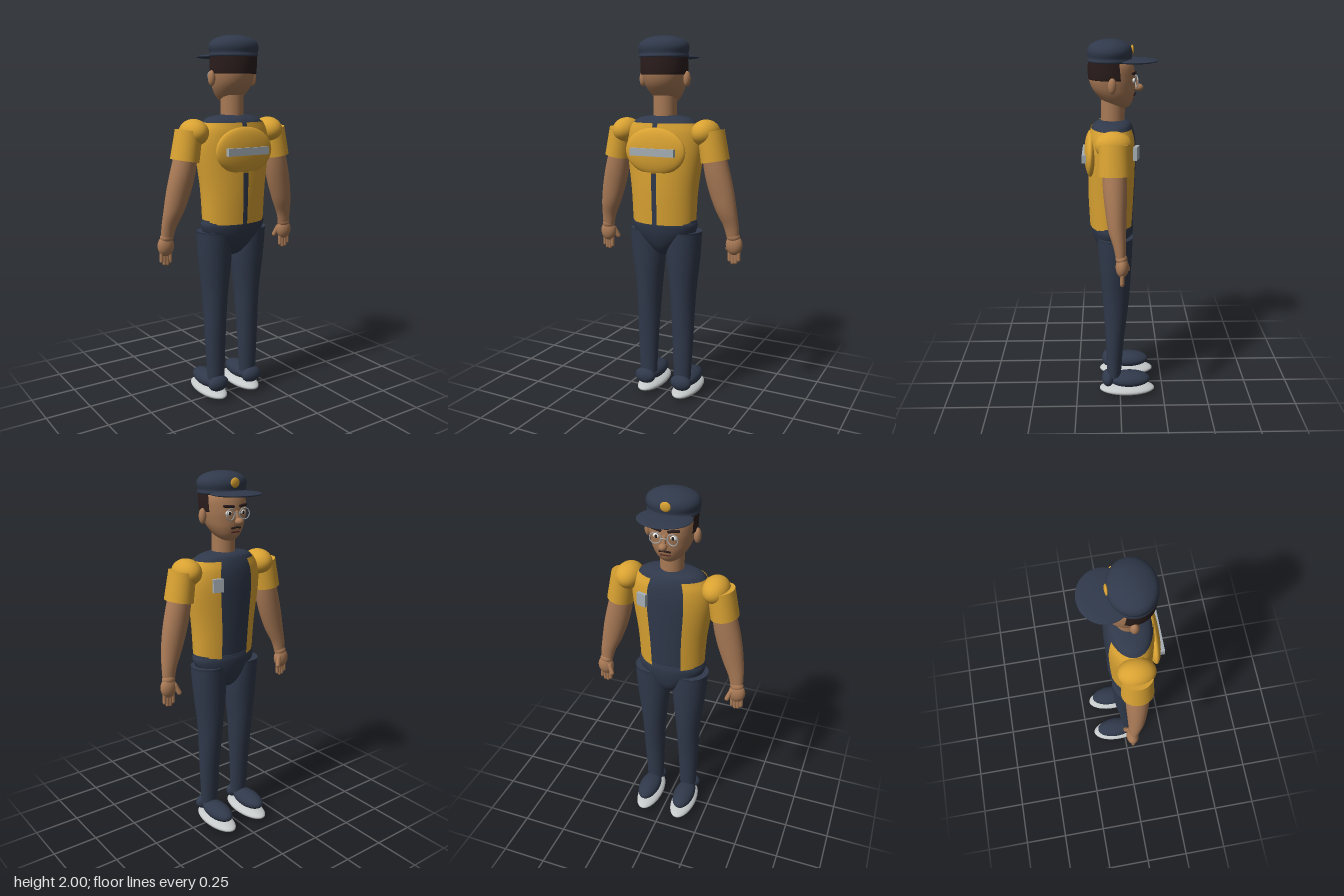
import * as THREE from 'three';

const mat = (name, color, side = THREE.FrontSide) => {
  const m = new THREE.MeshStandardMaterial({ color, side });
  m.name = name;
  return m;
};

export function createModel() {
  const root = new THREE.Group();
  root.name = 'uniformedMan';
  const navy = mat('navyCloth', 0x30394b);
  const yellow = mat('yellowCloth', 0xd9a232, THREE.DoubleSide);
  const skin = mat('skin', 0xa97a56);
  const hair = mat('darkHair', 0x2a1c1c, THREE.DoubleSide);
  const grey = mat('reflectiveGrey', 0xa6afb5);
  const soleMat = mat('soleWhite', 0xc6cacb);
  const white = mat('eyeWhite', 0xe8e6e0);
  const lips = mat('mouth', 0x5e3029);

  const add = (name, geo, material, x = 0, y = 0, z = 0) => {
    const m = new THREE.Mesh(geo, material);
    m.name = name;
    m.position.set(x, y, z);
    root.add(m);
    return m;
  };
  const ball = (name, material, [x, y, z], [rx, ry, rz]) => {
    const m = add(name, new THREE.SphereGeometry(1, 36, 24), material, x, y, z);
    m.scale.set(rx, ry, rz);
    return m;
  };
  const box = (name, material, p, s) => add(name, new THREE.BoxGeometry(...s), material, ...p);
  // Rounded rod between two points
  const rod = (name, material, a, b, r) => {
    const A = new THREE.Vector3(...a), B = new THREE.Vector3(...b), d = B.clone().sub(A);
    const m = add(name, new THREE.CapsuleGeometry(r, d.length(), 6, 14), material);
    m.position.copy(A).add(B).multiplyScalar(0.5);
    m.quaternion.setFromUnitVectors(new THREE.Vector3(0, 1, 0), d.normalize());
    return m;
  };
  // Smooth skin through elliptical rings [y, centreX, centreZ, radiusX, radiusZ], bottom to top.
  // Angle 0 points to +z and PI/2 to +x.
  const loft = (rows, from = 0, to = Math.PI * 2, grow = 0, n = 40) => {
    const C = new THREE.CatmullRomCurve3(rows.map(r => new THREE.Vector3(r[1], r[0], r[2])), false, 'catmullrom', 0.5);
    const R = new THREE.CatmullRomCurve3(rows.map(r => new THREE.Vector3(r[3], r[4], 0)), false, 'catmullrom', 0.5);
    const full = to - from > 6.28, cols = full ? n : n + 1, steps = (rows.length - 1) * 5;
    const pos = [], idx = [];
    for (let i = 0; i <= steps; i++) {
      const c = C.getPoint(i / steps), r = R.getPoint(i / steps);
      for (let j = 0; j < cols; j++) {
        const t = from + (to - from) * j / n;
        pos.push(c.x + Math.sin(t) * (r.x + grow), c.y, c.z + Math.cos(t) * (r.y + grow));
        if (i === steps || j === n) continue;
        const a = i * cols + j, b = i * cols + (j + 1) % cols;
        idx.push(a, b, b + cols, a, b + cols, a + cols);
      }
    }
    const g = new THREE.BufferGeometry();
    g.setAttribute('position', new THREE.Float32BufferAttribute(pos, 3));
    g.setIndex(idx);
    g.computeVertexNormals();
    return g;
  };

  // Shirt, with a split vest over it: wide opening on the chest, narrow slit on the back
  const body = [
    [1.02, 0, 0.045, 0.176, 0.112], [1.2, 0, 0.043, 0.186, 0.121], [1.4, 0, 0.038, 0.212, 0.123],
    [1.5, 0, 0.038, 0.205, 0.118], [1.555, 0, 0.04, 0.176, 0.106],
  ];
  add('shirt', loft([...body, [1.58, 0, 0.035, 0.14, 0.085], [1.593, 0, 0.035, 0.06, 0.055]]), navy);
  add('vestLeft', loft(body, 0.075, Math.PI - 0.47, 0.006), yellow);
  add('vestRight', loft(body, Math.PI + 0.47, Math.PI * 2 - 0.075, 0.006), yellow);
  ball('backPanel', yellow, [0, 1.41, 0.152], [0.174, 0.124, 0.037]);
  box('backStripe', grey, [0, 1.408, 0.187], [0.254, 0.04, 0.024]);
  const tag = box('chestTag', grey, [0.122, 1.44, -0.083], [0.055, 0.07, 0.02]);
  tag.rotation.y = -0.3;

  // Hips
  add('hips', loft([
    [0.825, 0, 0.03, 0.001, 0.001], [0.845, 0, 0.03, 0.045, 0.05], [0.89, 0, 0.033, 0.1, 0.085],
    [0.95, 0, 0.038, 0.165, 0.106], [1.0, 0, 0.041, 0.19, 0.115], [1.03, 0, 0.043, 0.186, 0.114],
    [1.045, 0, 0.043, 0.165, 0.1], [1.05, 0, 0.043, 0.001, 0.001],
  ]), navy);

  for (const s of [-1, 1]) {
    const side = s > 0 ? 'Left' : 'Right';
    // Trousers and shoes
    add('leg' + side, loft([
      [0.12, s * 0.107, 0.036, 0.05, 0.04], [0.35, s * 0.108, 0.031, 0.06, 0.052],
      [0.6, s * 0.105, 0.024, 0.071, 0.073], [0.82, s * 0.106, 0.026, 0.094, 0.088],
      [0.962, s * 0.112, 0.028, 0.096, 0.094], [0.972, s * 0.112, 0.028, 0.09, 0.088],
      [0.973, s * 0.112, 0.028, 0.001, 0.001],
    ]), navy);
    ball('sole' + side, soleMat, [s * 0.11, 0.031, -0.04], [0.073, 0.031, 0.16]);
    ball('shoe' + side, navy, [s * 0.113, 0.094, -0.053], [0.062, 0.045, 0.12]);
    ball('heel' + side, navy, [s * 0.113, 0.1, 0.07], [0.062, 0.045, 0.036]);

    // Sleeves
    ball('shoulder' + side, yellow, [s * 0.236, 1.505, 0.035], [0.073, 0.07, 0.094]);
    const sleeve = add('sleeve' + side, new THREE.CylinderGeometry(0.07, 0.075, 0.155, 36), yellow, s * 0.277, 1.439, 0.032);
    sleeve.rotation.z = s * 0.17;
    sleeve.scale.z = 1.1;

    // Bare arm and hand
    add('arm' + side, loft([
      [0.96, s * 0.384, 0.002, 0.034, 0.026], [1.02, s * 0.375, 0.008, 0.042, 0.032],
      [1.1, s * 0.352, 0.02, 0.057, 0.045], [1.2, s * 0.326, 0.026, 0.068, 0.054],
      [1.3, s * 0.302, 0.03, 0.069, 0.06], [1.42, s * 0.277, 0.032, 0.06, 0.06],
    ]), skin);
    ball('wrist' + side, skin, [s * 0.386, 0.962, 0], [0.037, 0.028, 0.03]);
    ball('palm' + side, skin, [s * 0.39, 0.918, -0.004], [0.046, 0.056, 0.033]);
    for (let i = 0; i < 4; i++) {
      const x = 0.365 + i * 0.017, tip = [0.832, 0.82, 0.823, 0.838][i];
      rod('finger' + side, skin, [s * x, 0.9, -0.005], [s * (x + 0.001), tip, -0.004], 0.0105);
    }
    rod('thumb' + side, skin, [s * 0.36, 0.93, -0.02], [s * 0.343, 0.887, -0.033], 0.013);

    // Ear, eye, spectacles and brow
    ball('ear' + side, skin, [s * 0.129, 1.78, 0.04], [0.019, 0.04, 0.021]);
    ball('eye' + side, white, [s * 0.043, 1.798, -0.068], [0.02, 0.013, 0.012]);
    ball('pupil' + side, hair, [s * 0.043, 1.798, -0.077], [0.008, 0.009, 0.005]);
    const rim = add('spectacleRim' + side, new THREE.TorusGeometry(0.028, 0.0028, 8, 32), grey, s * 0.044, 1.793, -0.085);
    rim.rotation.y = s * 0.2;
    rod('brow' + side, hair, [s * 0.022, 1.831, -0.079], [s * 0.068, 1.834, -0.064], 0.007);
    rod('moustache' + side, hair, [0, 1.727, -0.079], [s * 0.027, 1.722, -0.072], 0.005);
  }

  // Neck and head, with the chin carried forward
  add('neck', new THREE.CylinderGeometry(0.062, 0.062, 0.12, 36), skin, 0, 1.635, 0.036);
  add('head', loft([
    [1.647, 0, 0.0, 0.001, 0.001], [1.655, 0, 0.0, 0.035, 0.038], [1.68, 0, 0.008, 0.067, 0.069],
    [1.72, 0, 0.022, 0.094, 0.096], [1.76, 0, 0.034, 0.109, 0.112], [1.81, 0, 0.04, 0.118, 0.12],
    [1.87, 0, 0.043, 0.119, 0.112], [1.92, 0, 0.045, 0.09, 0.085],
  ]), skin);
  ball('nose', skin, [0, 1.757, -0.098], [0.021, 0.019, 0.024]);
  rod('noseBridge', skin, [0, 1.8, -0.078], [0, 1.762, -0.09], 0.011);
  rod('spectacleBridge', grey, [-0.017, 1.797, -0.091], [0.017, 1.797, -0.091], 0.0025);
  rod('mouth', lips, [-0.022, 1.702, -0.067], [0.022, 1.702, -0.067], 0.005);

  // Hair around the back and sides
  add('hair', loft([
    [1.802, 0, 0.042, 0.119, 0.118], [1.808, 0, 0.042, 0.125, 0.121], [1.85, 0, 0.045, 0.127, 0.119],
    [1.895, 0, 0.048, 0.126, 0.114],
  ], -1.95, 1.95), hair);

  // Peaked cap
  add('cap', loft([
    [1.886, 0, 0.05, 0.001, 0.001], [1.887, 0, 0.05, 0.122, 0.108], [1.91, 0, 0.05, 0.131, 0.112],
    [1.94, 0, 0.05, 0.137, 0.115], [1.967, 0, 0.05, 0.123, 0.103], [1.986, 0, 0.05, 0.089, 0.074],
    [1.996, 0, 0.05, 0.048, 0.04], [2.0, 0, 0.05, 0.001, 0.001],
  ]), navy);
  ball('capPeak', navy, [0, 1.892, -0.073], [0.137, 0.013, 0.124]);
  ball('capBadge', yellow, [0, 1.945, -0.063], [0.027, 0.025, 0.009]);

  return root;
}
